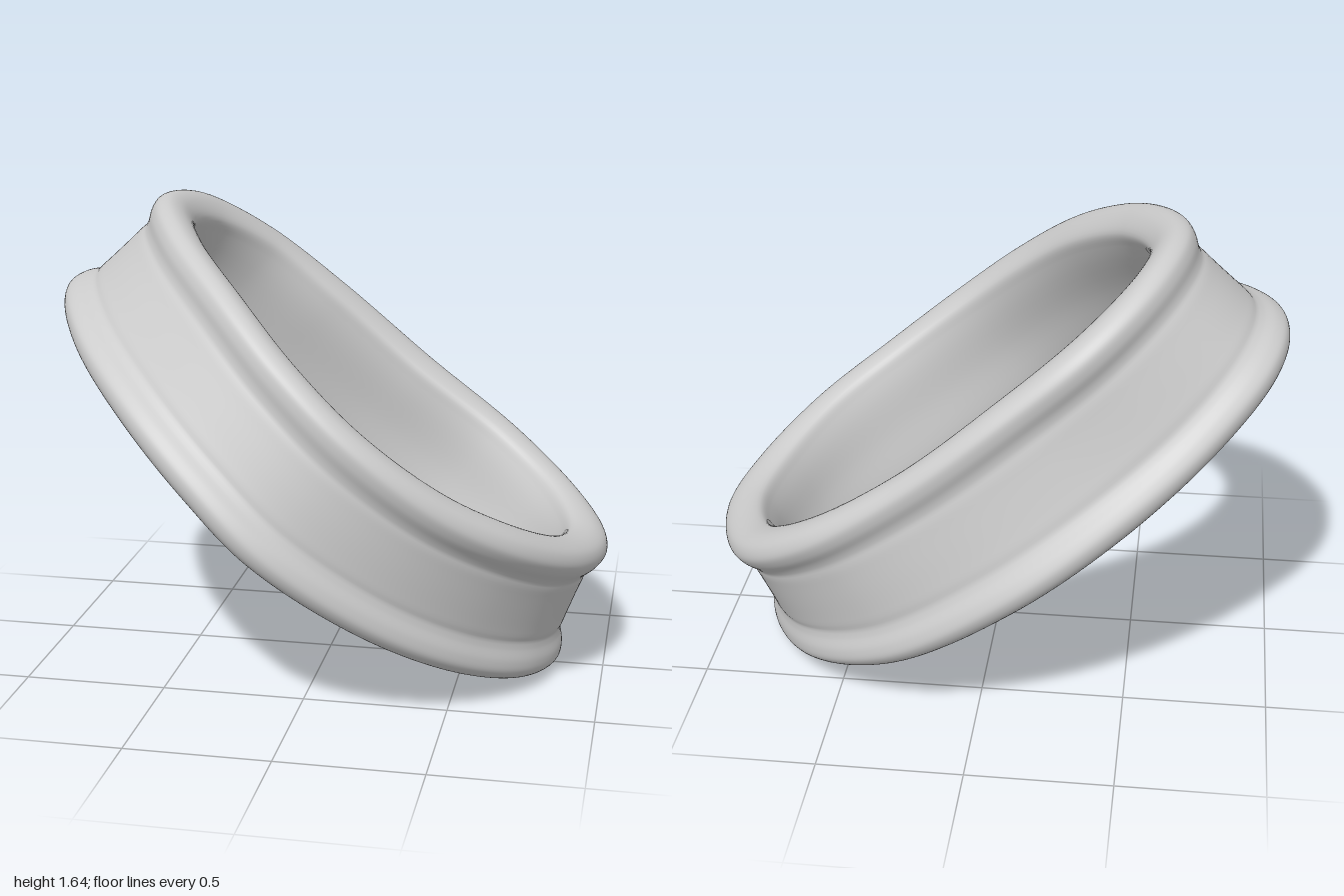
import * as THREE from 'three';

const V = (p) => new THREE.Vector3(...p);
const closedCurve = (pts) => new THREE.CatmullRomCurve3(pts.map(V), true, 'centripetal');

// Centre lines of the two beaded rims, matched point for point, starting at +x towards +z
const UPPER = [
  [0.917, 0.45, -0.09], [0.87, 0.485, 0.20], [0.71, 0.60, 0.47], [0.47, 0.76, 0.64], [0.20, 0.97, 0.697],
  [-0.03, 1.17, 0.635], [-0.25, 1.36, 0.47], [-0.47, 1.51, 0.20], [-0.592, 1.572, -0.13], [-0.54, 1.535, -0.39],
  [-0.36, 1.39, -0.595], [-0.10, 1.17, -0.668], [0.22, 0.90, -0.682], [0.56, 0.66, -0.625], [0.80, 0.50, -0.43],
];
const LOWER = [
  [0.76, 0.056, -0.06], [0.705, 0.09, 0.22], [0.52, 0.19, 0.46], [0.24, 0.37, 0.66], [-0.09, 0.62, 0.775],
  [-0.30, 0.81, 0.74], [-0.53, 1.00, 0.60], [-0.77, 1.17, 0.32], [-0.93, 1.255, -0.09], [-0.90, 1.22, -0.36],
  [-0.73, 1.06, -0.56], [-0.45, 0.82, -0.72], [-0.12, 0.56, -0.775], [0.27, 0.28, -0.67], [0.59, 0.12, -0.43],
];

// Lower half of the wall section: [fraction of height, shift along height, shift outwards]
const HALF = [
  [0, 0.03, -0.084], [0, -0.03, -0.068], [0, -0.053, 0], [0, -0.038, 0.058], [0, 0, 0.083],
  [0, 0.04, 0.076], [0, 0.08, 0.053], [0.3, 0, 0.046],
];

function createBandGeometry(around = 240, across = 96) {
  const upper = closedCurve(UPPER), lower = closedCurve(LOWER);
  const mirrored = HALF.map(([f, s, n]) => [1 - f, -s, n]).reverse();
  const section = closedCurve([...HALF, [0.5, 0, 0.045], ...mirrored, [0.5, 0, -0.086]]);
  const profile = Array.from({ length: across }, (_, j) => section.getPoint(j / across));

  const positions = [], indices = [];
  for (let i = 0; i < around; i++) {
    const t = i / around;
    const low = lower.getPoint(t), high = upper.getPoint(t);
    const rise = high.clone().sub(low);
    const up = rise.clone().normalize();
    const along = upper.getTangent(t).add(lower.getTangent(t));
    const out = up.clone().cross(along).normalize();
    for (let j = 0; j < across; j++) {
      const q = profile[j];
      const p = low.clone().addScaledVector(rise, q.x).addScaledVector(up, q.y).addScaledVector(out, q.z);
      positions.push(p.x, p.y, p.z);
      const i2 = (i + 1) % around, j2 = (j + 1) % across;
      const a = i * across + j, b = i * across + j2, c = i2 * across + j2, d = i2 * across + j;
      indices.push(a, b, d, b, c, d);
    }
  }
  const geometry = new THREE.BufferGeometry();
  geometry.setAttribute('position', new THREE.Float32BufferAttribute(positions, 3));
  geometry.setIndex(indices);
  geometry.computeVertexNormals();
  return geometry;
}

export function createModel() {
  const group = new THREE.Group();
  group.name = 'ring';
  // One smooth closed band with a rounded bead on both rims
  const band = new THREE.Mesh(createBandGeometry(), new THREE.MeshStandardMaterial({ color: 0xcccccc }));
  band.name = 'beadedBand';
  group.add(band);
  return group;
}
